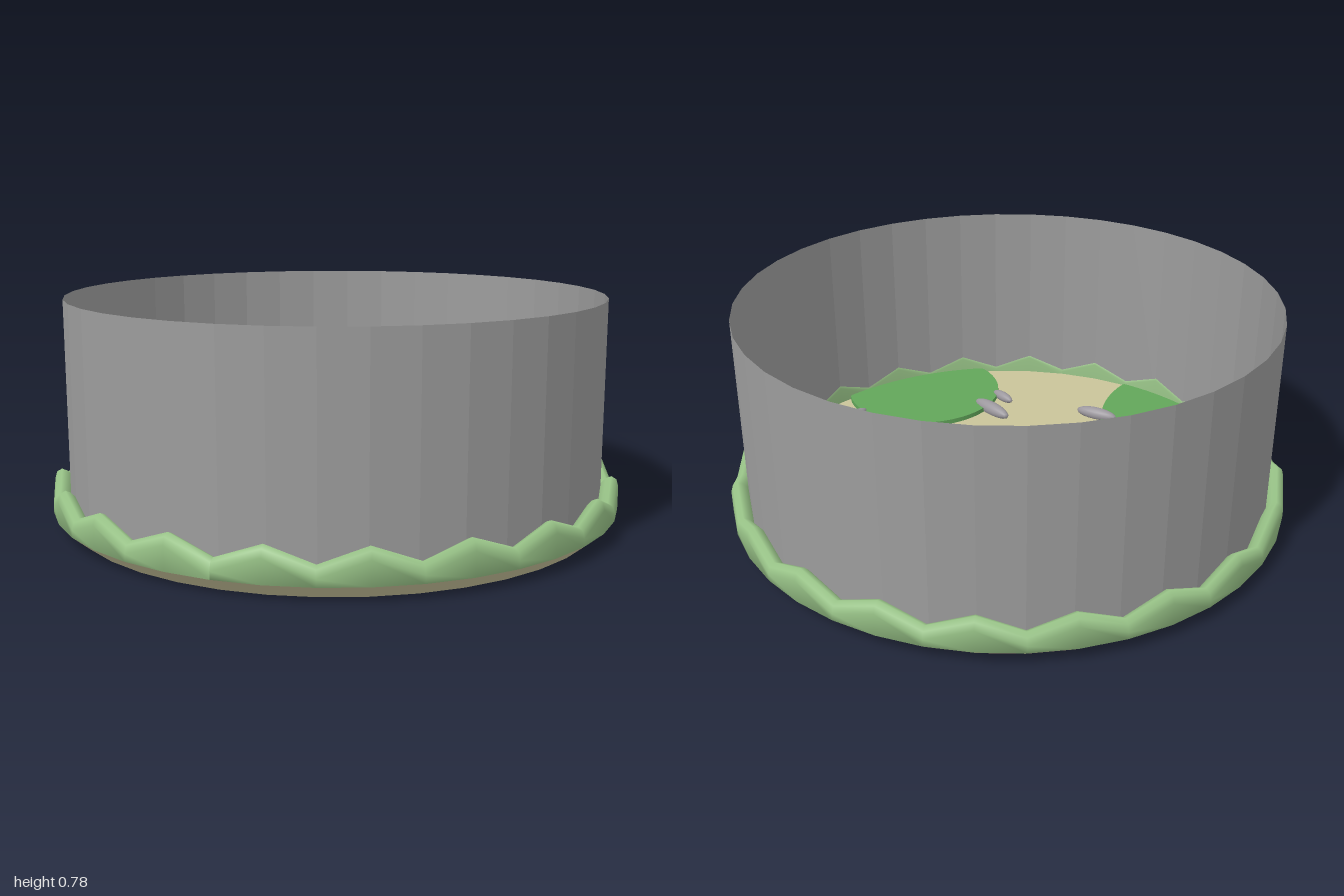
import * as THREE from 'three';

const SEGMENTS = 40;
const FLOOR = 0.06;
const WALL_RADIUS = 0.94;

const paint = (name, color, side = THREE.FrontSide) => {
  const m = new THREE.MeshStandardMaterial({ color, side });
  m.name = name;
  return m;
};

// Faceted normals
const faceted = (geometry) => {
  const g = geometry.toNonIndexed();
  g.computeVertexNormals();
  return g;
};

// Rounded ring whose crest zigzags up and down
function zigzagRim() {
  const positions = [], index = [];
  let rows = 0;
  for (let i = 0; i <= SEGMENTS; i++) {
    const a = (i / SEGMENTS) * Math.PI * 2;
    const h = i % 2 ? 0.165 : 0.11;
    const profile = [
      [0.97, 0.045], [1.0, 0.05], [1.0, h - 0.035], [0.993, h - 0.01], [0.975, h],
      [0.957, h - 0.008], [0.942, h - 0.025], [0.937, h - 0.04], [0.937, 0.05],
    ];
    rows = profile.length;
    for (const [r, y] of profile) positions.push(Math.sin(a) * r, y, Math.cos(a) * r);
  }
  for (let i = 0; i < SEGMENTS; i++) {
    for (let j = 0; j < rows - 1; j++) {
      const a = i * rows + j, b = a + rows;
      index.push(a, b, a + 1, b, b + 1, a + 1);
    }
  }
  const g = new THREE.BufferGeometry();
  g.setAttribute('position', new THREE.Float32BufferAttribute(positions, 3));
  g.setIndex(index);
  g.computeVertexNormals();
  return g;
}

// Round patch, cut off where it meets the wall
function patch(x, z, radius, height) {
  const points = [];
  for (let i = 0; i < 96; i++) {
    const a = (i / 96) * Math.PI * 2;
    const p = new THREE.Vector2(x + Math.cos(a) * radius, -z + Math.sin(a) * radius);
    points.push(p.clampLength(0, 0.932));
  }
  const g = new THREE.ExtrudeGeometry(new THREE.Shape(points), { depth: height, bevelEnabled: false });
  return g.rotateX(-Math.PI / 2).translate(0, FLOOR, 0);
}

export function createModel() {
  const sand = paint('sand', 0xc9c49a);
  const rimGreen = paint('pale green', 0x99c488);
  const patchGreen = paint('grass green', 0x62a65a);
  const wallGrey = paint('wall grey', 0x9c9c9c, THREE.DoubleSide);
  const stoneGrey = paint('stone grey', 0x9c989e);

  const model = new THREE.Group();
  model.name = 'roundEnclosure';
  const add = (name, geometry, material, parent = model) => {
    const mesh = new THREE.Mesh(geometry, material);
    mesh.name = name;
    parent.add(mesh);
    return mesh;
  };

  // Chamfered base and the floor on it
  add('base', faceted(new THREE.CylinderGeometry(1, 0.94, 0.05, SEGMENTS).translate(0, 0.025, 0)), sand);
  add('floor', new THREE.CylinderGeometry(0.938, 0.938, 0.02, SEGMENTS).translate(0, FLOOR - 0.01, 0), sand);

  // Rim and thin open wall
  add('rim', zigzagRim(), rimGreen);
  add('wall', faceted(new THREE.CylinderGeometry(WALL_RADIUS, WALL_RADIUS, 0.73, SEGMENTS, 1, true)
    .translate(0, 0.415, 0)), wallGrey);

  // Patches on the floor: x, z, radius, height
  const patches = new THREE.Group();
  patches.name = 'patches';
  model.add(patches);
  for (const p of [[0.665, -0.33, 0.325, 0.008], [0.53, 0.61, 0.315, 0.018], [-0.79, 0.665, 0.555, 0.008]]) {
    add('patch', patch(...p), patchGreen, patches);
  }

  // Slim stones on the patch edges: end points x1, z1, x2, z2, then half width
  const stones = new THREE.Group();
  stones.name = 'stones';
  model.add(stones);
  const ends = [
    [0.25, -0.52, 0.41, -0.48, 0.025], [0.24, -0.32, 0.40, -0.365, 0.025],
    [0.41, 0.015, 0.48, -0.14, 0.025], [0.87, 0.015, 0.80, -0.135, 0.025],
    [-0.755, 0.01, -0.705, 0.185, 0.026], [-0.42, 0.33, -0.26, 0.25, 0.028],
    [-0.36, 0.38, -0.24, 0.345, 0.02], [-0.31, 0.55, -0.14, 0.59, 0.026],
    [0.12, 0.45, 0.285, 0.56, 0.028], [0.14, 0.59, 0.235, 0.66, 0.02],
    [0.70, 0.365, 0.75, 0.255, 0.02],
  ];
  const ball = new THREE.SphereGeometry(1, 16, 10);
  for (const [x1, z1, x2, z2, w] of ends) {
    const stone = add('stone', ball, stoneGrey, stones);
    stone.position.set((x1 + x2) / 2, FLOOR + 0.015, (z1 + z2) / 2);
    stone.scale.set(Math.hypot(x2 - x1, z2 - z1) / 2, w, w);
    stone.rotation.y = -Math.atan2(z2 - z1, x2 - x1);
  }
  return model;
}
